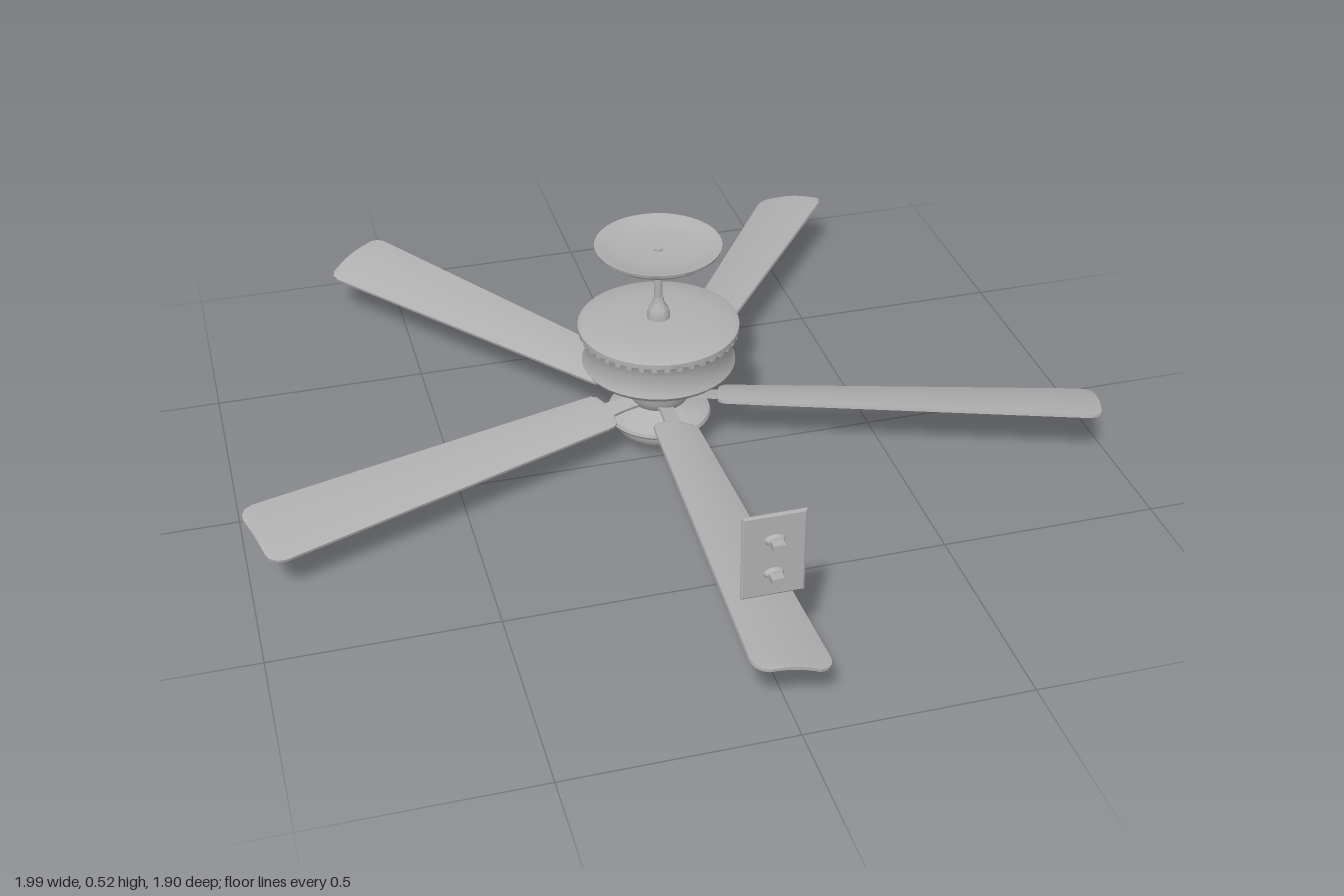
import * as THREE from 'three';
import { toCreasedNormals } from 'three/addons/utils/BufferGeometryUtils.js';

const CENTRE_Z = -0.08;
const BLADES = 5;

export function createModel() {
  const grey = new THREE.MeshStandardMaterial({ color: 0xb0b0b0, side: THREE.DoubleSide });
  grey.name = 'plain grey';

  const model = new THREE.Group();
  model.name = 'ceilingFan';
  const fan = new THREE.Group();
  fan.name = 'fan';
  fan.position.z = CENTRE_Z;
  model.add(fan);

  const add = (parent, name, geometry, x = 0, y = 0, z = 0) => {
    const mesh = new THREE.Mesh(geometry, grey);
    mesh.name = name;
    mesh.position.set(x, y, z);
    parent.add(mesh);
    return mesh;
  };
  // Turned part; profile runs from bottom to top as [radius, height]
  const turned = (name, profile, crease = 0.6) => add(fan, name, toCreasedNormals(
    new THREE.LatheGeometry(profile.map(([r, y]) => new THREE.Vector2(r, y)), 48), crease));

  // Ceiling mount: open dish, rod and coupling
  turned('canopy', [[0, 0.505], [0.09, 0.506], [0.132, 0.508], [0.137, 0.514], [0.143, 0.517],
    [0.145, 0.525], [0.141, 0.525], [0.125, 0.518], [0.08, 0.512], [0, 0.509]]);
  add(fan, 'rod', new THREE.CylinderGeometry(0.01, 0.01, 0.19, 20), 0, 0.42, 0);
  turned('rodCoupling', [[0.026, 0.325], [0.027, 0.345], [0.022, 0.36], [0.014, 0.372], [0.012, 0.388], [0, 0.388]]);

  // Motor housing with a waisted wall and a lip at the top
  turned('motorHousing', [[0, 0.194], [0.11, 0.195], [0.145, 0.2], [0.172, 0.212], [0.179, 0.222],
    [0.174, 0.232], [0.17, 0.25], [0.17, 0.275], [0.175, 0.295], [0.18, 0.304], [0.187, 0.307],
    [0.187, 0.318], [0.178, 0.323], [0.12, 0.33], [0, 0.335]]);
  // Vent teeth under the lip
  for (let i = 0; i < 40; i++) {
    const a = (i / 40) * Math.PI * 2;
    const tooth = add(fan, 'ventTooth', new THREE.BoxGeometry(0.012, 0.01, 0.012),
      Math.sin(a) * 0.179, 0.302, Math.cos(a) * 0.179);
    tooth.rotation.y = a;
  }

  // Switch neck, rotor hub and light
  turned('neck', [[0.07, 0.155], [0.085, 0.16], [0.092, 0.168], [0.09, 0.178], [0.098, 0.184], [0.1, 0.197]]);
  turned('rotorHub', [[0.06, 0.11], [0.068, 0.118], [0.075, 0.135], [0.078, 0.15], [0.07, 0.158]]);
  turned('lightFitter', [[0.105, 0.066], [0.118, 0.068], [0.123, 0.076], [0.12, 0.084], [0.1, 0.094],
    [0.075, 0.103], [0.06, 0.114], [0, 0.116]]);
  const bowl = [];
  for (let i = 0; i <= 14; i++) {
    const t = (i / 14) * Math.PI / 2;
    bowl.push([0.108 * Math.sin(t), 0.068 - 0.068 * Math.cos(t)]);
  }
  turned('lightBowl', bowl, 1);

  // Blades and their brackets, each pointing along +z before turning
  const bladeGeometry = makeBlade(0.14, 1.03);
  const bracketGeometry = makeBracket();
  for (let i = 0; i < BLADES; i++) {
    const arm = new THREE.Group();
    arm.name = 'bladeArm';
    arm.rotation.y = (i / BLADES) * Math.PI * 2;
    fan.add(arm);
    const pitched = new THREE.Group();
    pitched.name = 'pitchedBlade';
    pitched.position.y = 0.127;
    pitched.rotation.z = -0.22;
    arm.add(pitched);
    add(pitched, 'blade', bladeGeometry);
    add(pitched, 'bladeBracket', bracketGeometry, 0, -0.008, 0);
    for (const [x, z] of [[-0.025, 0.2], [0.025, 0.2], [0, 0.225]]) {
      add(pitched, 'bracketScrew', new THREE.CylinderGeometry(0.005, 0.005, 0.006, 10), x, -0.009, z);
    }
  }

  // Wall control in front of the fan
  const control = new THREE.Group();
  control.name = 'wallControl';
  control.position.set(-0.003, 0.3, 0.797);
  model.add(control);
  add(control, 'wallPlate', makePlate());
  for (const y of [0.04, -0.042]) {
    add(control, 'controlStem', new THREE.BoxGeometry(0.026, 0.014, 0.05), 0, y, 0.013);
    const collar = add(control, 'controlCollar', new THREE.CylinderGeometry(0.016, 0.022, 0.01, 20), 0, y, 0.012);
    collar.rotation.x = Math.PI / 2;
    collar.scale.z = 0.6;
  }
  return model;
}

// Tapered, slightly arched blade with rounded tip corners
function makeBlade(start, end) {
  const geometry = new THREE.BoxGeometry(2, 0.007, 1, 10, 1, 24);
  const p = geometry.attributes.position;
  const corner = (d, r) => (d < r ? r - Math.sqrt(r * r - (r - d) ** 2) : 0);
  for (let i = 0; i < p.count; i++) {
    const u = p.getX(i);
    const t = Math.sin(p.getZ(i) * Math.PI) * 0.5 + 0.5;
    const z = start + (end - start) * t;
    const half = 0.054 + 0.035 * t - corner(end - z, 0.035) - corner(z - start, 0.02);
    p.setXYZ(i, u * half, p.getY(i) + 0.006 * (0.5 - u * u), z);
  }
  geometry.computeVertexNormals();
  return geometry;
}

// Flat bracket, narrow at the hub and flared under the blade
function makeBracket() {
  const s = new THREE.Shape();
  s.moveTo(-0.02, -0.05);
  s.lineTo(0.02, -0.05);
  s.quadraticCurveTo(0.012, -0.13, 0.035, -0.18);
  s.quadraticCurveTo(0.045, -0.22, 0, -0.24);
  s.quadraticCurveTo(-0.045, -0.22, -0.035, -0.18);
  s.quadraticCurveTo(-0.012, -0.13, -0.02, -0.05);
  const geometry = new THREE.ExtrudeGeometry(s, { depth: 0.008, bevelEnabled: false });
  return geometry.rotateX(-Math.PI / 2);
}

// Thin plate with a bevelled rim
function makePlate() {
  const s = new THREE.Shape();
  s.moveTo(-0.063, -0.096);
  s.lineTo(0.063, -0.096);
  s.lineTo(0.063, 0.096);
  s.lineTo(-0.063, 0.096);
  s.closePath();
  return new THREE.ExtrudeGeometry(s, { depth: 0.003, bevelThickness: 0.003, bevelSize: 0.004, bevelSegments: 1 });
}
